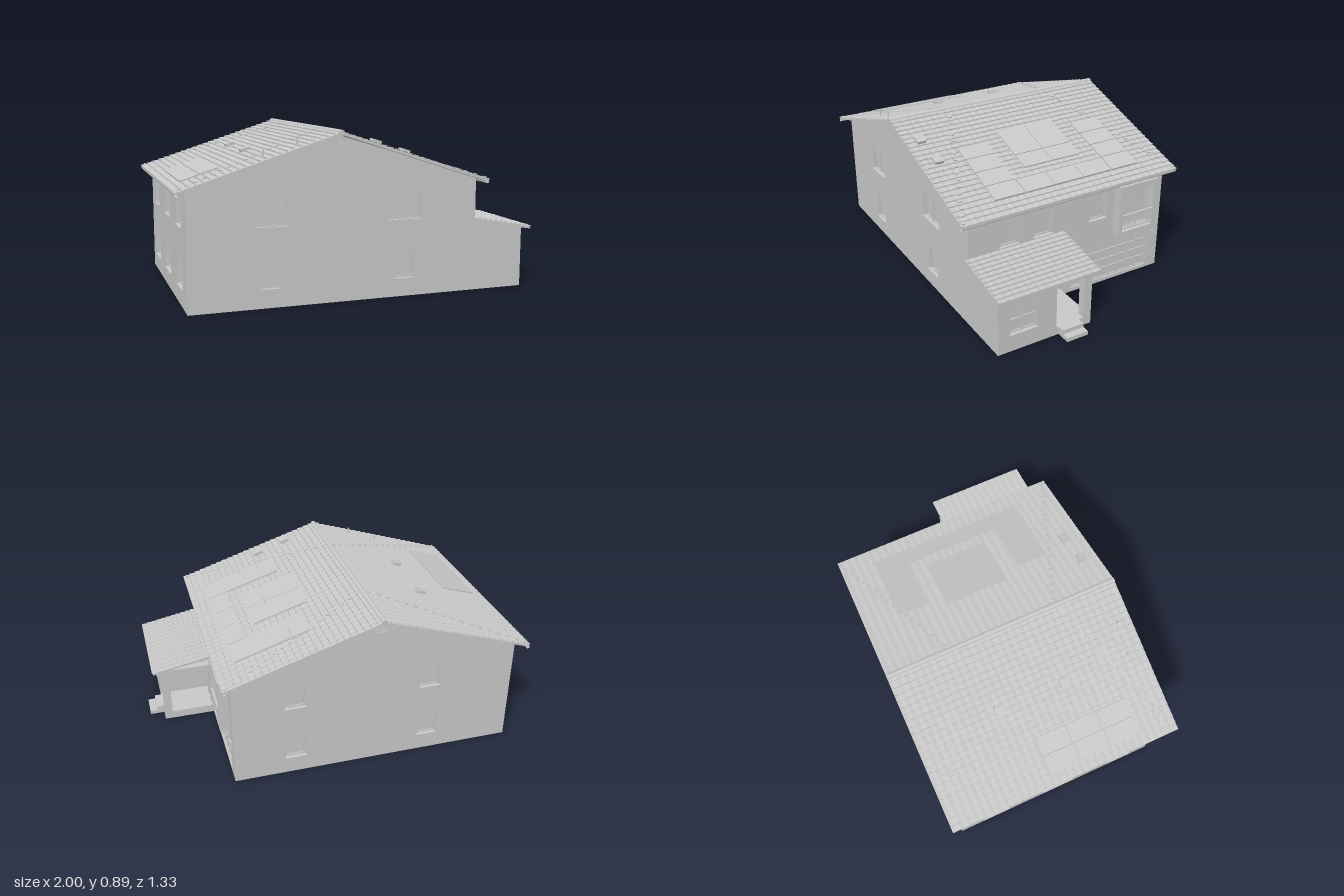
import * as THREE from 'three';

const plaster = new THREE.MeshStandardMaterial({ color: 0xc8c8c8, side: THREE.DoubleSide, flatShading: true });
plaster.name = 'light grey';

const RIDGE_X = -0.16, RIDGE_Y = 0.882, EAVE_Y = 0.612;
const SLOPE = (RIDGE_Y - EAVE_Y) / 0.84;
const roofY = (x) => RIDGE_Y - SLOPE * Math.abs(x - RIDGE_X);

function add(parent, name, geometry, x = 0, y = 0, z = 0) {
  const m = new THREE.Mesh(geometry, plaster);
  m.name = name;
  m.position.set(x, y, z);
  parent.add(m);
  return m;
}

// box given by its minimum and maximum corners
function box(parent, name, x0, x1, y0, y1, z0, z1) {
  return add(parent, name, new THREE.BoxGeometry(x1 - x0, y1 - y0, z1 - z0),
    (x0 + x1) / 2, (y0 + y1) / 2, (z0 + z1) / 2);
}

const rect = (x0, x1, y0, y1, Type = THREE.Path) => new Type(
  [[x0, y0], [x1, y0], [x1, y1], [x0, y1]].map((p) => new THREE.Vector2(...p)));

function slab(parent, name, shape, depth, z) {
  return add(parent, name, new THREE.ExtrudeGeometry(shape, { depth, bevelEnabled: false }), 0, 0, z);
}

// recessed window in wall space: frame, pane, glazing bars and sill
function windowUnit(wall, [u0, u1, v0, v1, cols = 1, rows = 1]) {
  const g = new THREE.Group();
  g.name = 'window';
  wall.add(g);
  const b = 0.008;
  const frame = rect(u0, u1, v0, v1, THREE.Shape);
  frame.holes.push(rect(u0 + b, u1 - b, v0 + b, v1 - b));
  slab(g, 'windowFrame', frame, 0.008, -0.02);
  box(g, 'windowPane', u0, u1, v0, v1, -0.022, -0.018);
  for (let i = 1; i < cols; i++) {
    const u = u0 + (u1 - u0) * i / cols;
    box(g, 'mullion', u - b / 2, u + b / 2, v0, v1, -0.02, -0.01);
  }
  for (let i = 1; i < rows; i++) {
    const v = v0 + (v1 - v0) * i / rows;
    box(g, 'glazingBar', u0, u1, v - b / 2, v + b / 2, -0.02, -0.011);
  }
  box(g, 'windowSill', u0 - 0.005, u1 + 0.005, v0 - 0.006, v0, -0.02, 0.009);
}

// wall panel from an outline, facing local +z, with its windows cut out
function makeWall(parent, name, outline, windows, x, z, turn, openings = []) {
  const g = new THREE.Group();
  g.name = name;
  g.position.set(x, 0, z);
  g.rotation.y = turn;
  parent.add(g);
  const shape = new THREE.Shape(outline.map((p) => new THREE.Vector2(...p)));
  for (const [u0, u1, v0, v1] of [...windows, ...openings]) shape.holes.push(rect(u0, u1, v0, v1));
  slab(g, name + 'Panel', shape, 0.02, -0.02);
  windows.forEach((w) => windowUnit(g, w));
  return g;
}

// stepped, gently waved tile courses from (x0,y0) down to (x1,y1)
function tiles(parent, name, x0, y0, x1, y1, z0, z1, rows) {
  const cols = Math.round((z1 - z0) / 0.011), side = Math.sign(x1 - x0);
  const geo = new THREE.PlaneGeometry(1, 1, cols, rows * 2), p = geo.attributes.position;
  for (let j = 0; j <= rows * 2; j++) {
    const s = Math.ceil(j / 2) / rows;
    for (let i = 0; i <= cols; i++) {
      const t = side > 0 ? 1 - i / cols : i / cols;
      const lift = (j % 2 ? 0.007 : 0) + 0.0012 * Math.cos(i * Math.PI / 2);
      p.setXYZ(j * (cols + 1) + i, x0 + (x1 - x0) * s, y0 + (y1 - y0) * s + lift, z0 + (z1 - z0) * t);
    }
  }
  geo.computeVertexNormals();
  return add(parent, name, geo);
}

// box lying on the main roof, given by its plan extents
function onRoof(parent, name, x0, x1, z0, z1, thick, lift) {
  const x = (x0 + x1) / 2, a = Math.atan(SLOPE);
  const m = add(parent, name, new THREE.BoxGeometry((x1 - x0) / Math.cos(a), thick, z1 - z0),
    x, roofY(x) + lift, (z0 + z1) / 2);
  m.rotation.z = x > RIDGE_X ? -a : a;
  return m;
}

// rows of panels filling a rectangle of the roof
function panels(parent, xs, zs) {
  for (let i = 0; i + 1 < xs.length; i++)
    for (let k = 0; k + 1 < zs.length; k++)
      onRoof(parent, 'roofPanel', xs[i] + 0.002, xs[i + 1] - 0.002, zs[k] + 0.002, zs[k + 1] - 0.002, 0.008, 0.01);
}

export function createModel() {
  const house = new THREE.Group();
  house.name = 'house';

  // gable walls; the front one runs on to close the side of the porch room
  const front = makeWall(house, 'frontGable',
    [[-0.94, 0], [0.92, 0], [0.92, 0.335], [0.63, 0.39], [0.63, 0.625], [-0.16, 0.865], [-0.94, 0.625]],
    [[-0.595, -0.43, 0.415, 0.56, 2], [0.12, 0.305, 0.415, 0.56, 2], [-0.565, -0.46, 0.1, 0.245], [0.16, 0.265, 0.1, 0.245]],
    0, 0.61, 0);
  const back = makeWall(house, 'backGable',
    [[-0.63, 0], [0.94, 0], [0.94, 0.625], [0.16, 0.865], [-0.63, 0.625]],
    [[-0.35, -0.24, 0.415, 0.56], [0.4, 0.51, 0.415, 0.56], [-0.35, -0.24, 0.1, 0.245], [0.4, 0.51, 0.1, 0.245]],
    0, -0.61, Math.PI);
  for (const [wall, u] of [[front, -0.16], [back, 0.16]]) {
    box(wall, 'gableVent', u - 0.038, u + 0.038, 0.785, 0.835, 0, 0.004);
    for (let i = 0; i < 3; i++) box(wall, 'ventSlat', u - 0.03, u + 0.03, 0.793 + i * 0.013, 0.8 + i * 0.013, 0, 0.008);
  }

  // long walls
  makeWall(house, 'rightWall', [[-0.61, 0], [0.61, 0], [0.61, 0.63], [-0.61, 0.63]],
    [[-0.46, -0.31, 0.415, 0.56, 2], [-0.06, 0.09, 0.415, 0.56, 2], [0.34, 0.475, 0.415, 0.56],
      [-0.46, -0.31, 0.1, 0.245, 2], [-0.08, 0.1, 0.1, 0.245, 2], [0.34, 0.475, 0.1, 0.245]],
    -0.94, 0, -Math.PI / 2);
  const left = makeWall(house, 'leftWall',
    [[-0.27, 0], [0.61, 0], [0.61, 0.63], [-0.61, 0.63], [-0.61, 0.34], [-0.27, 0.34]],
    [[-0.43, -0.32, 0.41, 0.555], [-0.225, -0.115, 0.41, 0.555], [0.125, 0.23, 0.41, 0.555]],
    0.63, 0, Math.PI / 2, [[0.02, 0.53, 0.02, 0.25], [0.305, 0.515, 0.315, 0.56]]);

  // garage door with a raised grid
  box(left, 'garageDoor', 0.02, 0.53, 0.02, 0.25, -0.02, -0.016);
  for (let i = 0; i <= 8; i++) {
    const u = 0.023 + i * 0.063;
    box(left, 'garageDoorStile', u - 0.003, u + 0.003, 0.02, 0.25, -0.016, -0.008);
  }
  for (let i = 0; i <= 4; i++) {
    const v = 0.023 + i * 0.056;
    box(left, 'garageDoorRail', 0.02, 0.53, v - 0.003, v + 0.003, -0.016, -0.009);
  }
  box(left, 'wallBox', 0.555, 0.573, 0.208, 0.235, 0, 0.012);

  // projecting bay with double doors and a railing
  const bay = rect(0.285, 0.54, 0.29, 0.59, THREE.Shape);
  bay.holes.push(rect(0.308, 0.515, 0.315, 0.56));
  slab(left, 'bayFrame', bay, 0.053, 0);
  windowUnit(left, [0.305, 0.515, 0.315, 0.56, 2, 1]);
  box(left, 'railingTop', 0.308, 0.515, 0.408, 0.416, 0.044, 0.056);
  box(left, 'railingBottom', 0.308, 0.515, 0.33, 0.336, 0.044, 0.054);
  for (let i = 0; i < 12; i++) {
    const u = 0.314 + i * 0.0177;
    box(left, 'baluster', u - 0.002, u + 0.002, 0.33, 0.41, 0.046, 0.052);
  }

  // porch room, entrance door, pillar, floor and steps
  const porch = new THREE.Group();
  porch.name = 'porch';
  house.add(porch);
  makeWall(porch, 'porchRoomWall', [[-0.61, 0], [-0.27, 0], [-0.27, 0.335], [-0.61, 0.335]],
    [[-0.54, -0.39, 0.1, 0.25, 2, 2]], 0.92, 0, Math.PI / 2);
  box(porch, 'porchSideWall', 0.63, 0.92, 0, 0.335, 0.27, 0.285);
  box(porch, 'porchPillar', 0.875, 0.92, 0.045, 0.3, 0.058, 0.103);
  box(porch, 'porchBeam', 0.875, 0.925, 0.295, 0.33, 0.058, 0.32);
  box(porch, 'porchSideBeam', 0.63, 0.92, 0.295, 0.33, 0.058, 0.103);
  box(porch, 'porchFloor', 0.63, 0.92, 0, 0.045, 0.058, 0.27);
  box(porch, 'upperStep', 0.92, 0.96, 0, 0.045, 0.13, 0.255);
  box(porch, 'lowerStep', 0.96, 1.0, 0, 0.022, 0.13, 0.255);
  const doorFrame = rect(-0.205, -0.095, 0.045, 0.28, THREE.Shape);
  doorFrame.holes.push(rect(-0.193, -0.107, 0.045, 0.268));
  slab(left, 'doorFrame', doorFrame, 0.01, 0);
  box(left, 'door', -0.193, -0.107, 0.045, 0.268, 0, 0.004);

  // porch roof
  const deck = new THREE.Shape([[0.63, 0.383], [0.965, 0.323], [0.965, 0.335], [0.63, 0.398]].map((p) => new THREE.Vector2(...p)));
  slab(porch, 'porchRoofDeck', deck, 0.586, 0.042);
  tiles(porch, 'porchRoofTiles', 0.63, 0.399, 0.97, 0.334, 0.04, 0.63, 11);

  // main roof: thin deck, tile courses, gutters and ridge cap
  const roof = new THREE.Group();
  roof.name = 'roof';
  house.add(roof);
  const t = 0.012;
  const gable = new THREE.Shape([[-0.998, EAVE_Y - t], [-0.16, RIDGE_Y - t], [0.678, EAVE_Y - t], [0.678, EAVE_Y],
    [-0.16, RIDGE_Y - 0.001], [-0.998, EAVE_Y]].map((p) => new THREE.Vector2(...p)));
  slab(roof, 'roofDeck', gable, 1.326, -0.663);
  for (const s of [-1, 1]) {
    tiles(roof, 'roofTiles', RIDGE_X, RIDGE_Y, RIDGE_X + s * 0.84, EAVE_Y, -0.665, 0.665, 24);
    const gutter = add(roof, 'gutter', new THREE.CylinderGeometry(0.009, 0.009, 1.33, 8, 1, true, -Math.PI / 2, Math.PI),
      RIDGE_X + s * 0.829, 0.602, 0);
    gutter.rotation.x = Math.PI / 2;
  }
  const cap = add(roof, 'ridgeCap', new THREE.CylinderGeometry(0.016, 0.016, 1.33, 8), RIDGE_X, 0.879, 0);
  cap.rotation.x = Math.PI / 2;

  // small raised tiles running diagonally from the corners towards the ridge
  for (const s of [-1, 1]) for (const e of [-1, 1]) for (let i = 0; i < 18; i++) {
    const f = i / 17, x = RIDGE_X + s * (0.82 - 0.785 * f), z = e * (0.65 - 0.33 * f);
    onRoof(roof, 'diagonalTile', x - 0.007, x + 0.007, z - 0.01, z + 0.01, 0.006, 0.008);
  }

  // roof panels
  panels(roof, [0.115, 0.315, 0.415], [-0.2, -0.022, 0.155]);
  panels(roof, [0.17, 0.268, 0.372, 0.476, 0.58], [-0.472, -0.295]);
  panels(roof, [0.17, 0.268, 0.372, 0.476, 0.58], [0.25, 0.427]);
  panels(roof, [0.48, 0.58], [-0.292, -0.115, 0.065, 0.248]);
  panels(roof, [-0.94, -0.84, -0.74], [-0.08, 0.1, 0.28, 0.46]);

  // roof hatches and vent pipes
  for (const [x, z] of [[-0.545, -0.193], [-0.545, 0.185], [0.053, 0.582], [0.223, 0.565]])
    onRoof(roof, 'roofHatch', x - 0.024, x + 0.024, z - 0.024, z + 0.024, 0.022, 0.011);
  for (const [x, z] of [[-0.37, 0.585], [-0.54, 0.567]])
    add(roof, 'ventPipe', new THREE.CylinderGeometry(0.005, 0.005, 0.05, 8), x, roofY(x) + 0.015, z);

  return house;
}
